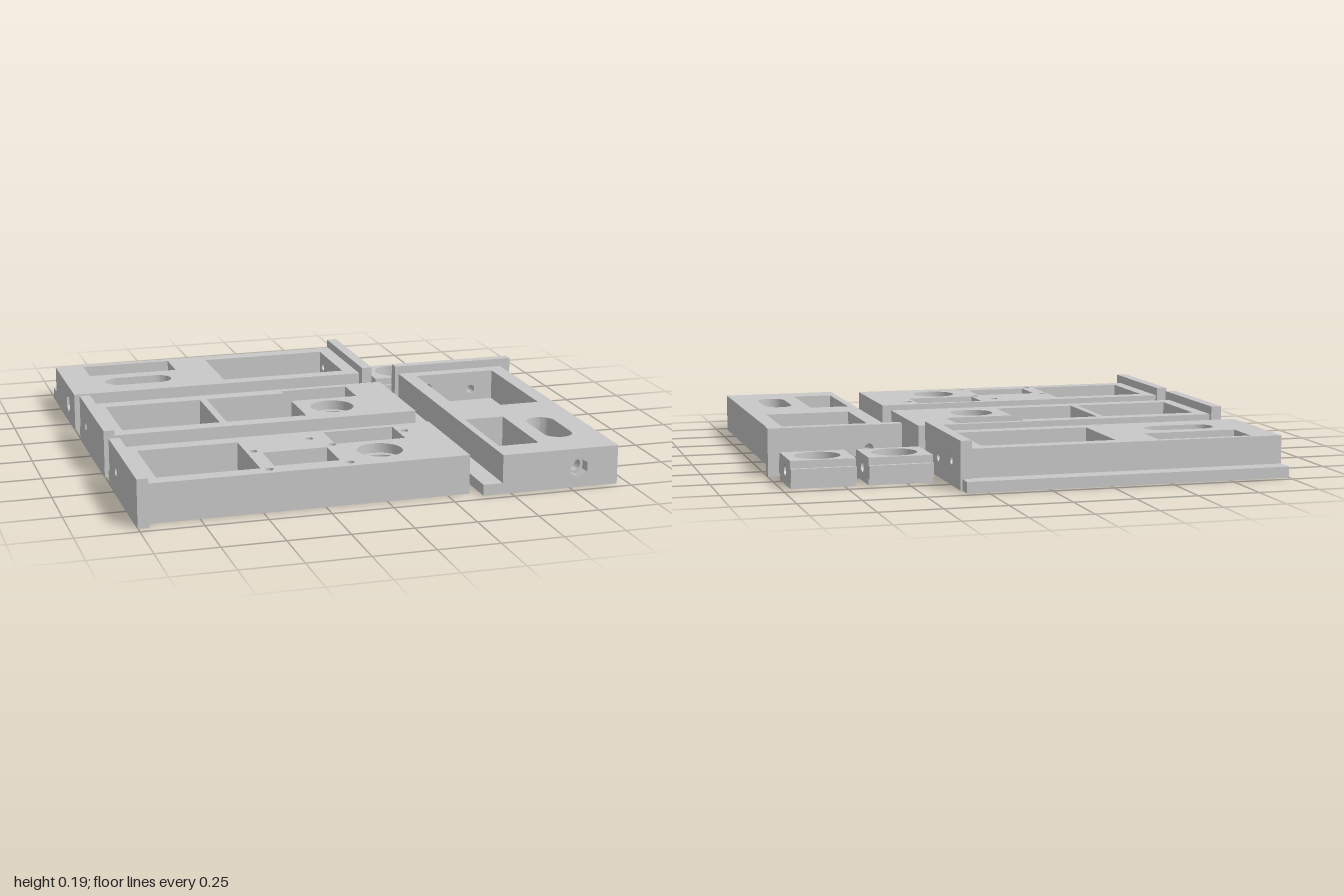
import * as THREE from 'three';
import { toCreasedNormals } from 'three/addons/utils/BufferGeometryUtils.js';

const grey = new THREE.MeshStandardMaterial({ color: 0xc8c8c8 });
grey.name = 'machined grey';

const rect = (a, b, c, d) => [[a, b], [c, b], [c, d], [a, d]];
const circle = (x, z, r, n = 40) => Array.from({ length: n }, (_, i) => {
  const t = (i / n) * Math.PI * 2;
  return [x + r * Math.cos(t), z + r * Math.sin(t)];
});
// Open arc from angle t0 to t1
const arc = (x, z, r, t0, t1, n = 20) => Array.from({ length: n + 1 }, (_, i) => {
  const t = t0 + (i / n) * (t1 - t0);
  return [x + r * Math.cos(t), z + r * Math.sin(t)];
});
// Rounded slot running along x
const slot = (x0, x1, z, r) => [
  ...arc(x1 - r, z, r, -Math.PI / 2, Math.PI / 2),
  ...arc(x0 + r, z, r, Math.PI / 2, Math.PI * 1.5),
];

// Extruded shape; the outline is kept counter-clockwise and the holes clockwise
function prism(outline, holes, depth) {
  const toVec = (pts, clockwise) => {
    const v = pts.map(([a, b]) => new THREE.Vector2(a, b));
    return THREE.ShapeUtils.isClockWise(v) === clockwise ? v : v.reverse();
  };
  const shape = new THREE.Shape(toVec(outline, false));
  holes.forEach((h) => shape.holes.push(new THREE.Path(toVec(h, true))));
  return new THREE.ExtrudeGeometry(shape, { depth, bevelEnabled: false });
}

function add(group, name, geometry) {
  const mesh = new THREE.Mesh(toCreasedNormals(geometry, 0.5), grey);
  mesh.name = name;
  group.add(mesh);
}

// Horizontal layer: outline and holes in (x, z), raised from y0 to y1
function layer(group, name, outline, holes, y0, y1, s = 1) {
  const map = (pts) => pts.map(([x, z]) => [s * x, -z]);
  const g = prism(map(outline), holes.map(map), y1 - y0);
  add(group, name, g.rotateX(-Math.PI / 2).translate(0, y0, 0));
}

// Upright plate: outline and holes in (z, y), thick from x0 to x1
function upright(group, name, outline, holes, x0, x1, s = 1) {
  const map = (pts) => pts.map(([z, y]) => [-z, y]);
  const g = prism(map(outline), holes.map(map), x1 - x0);
  add(group, name, g.rotateY(Math.PI / 2).translate(s > 0 ? x0 : -x1, 0, 0));
}

const LENGTH = 1.342, WIDTH = 0.57, HEIGHT = 0.16, FLOOR = 0.03, STEP = 0.12;

// Plate measured from its flange (x = 0) and its ledge edge (z = 0)
function plate(name, { s = 1, wall, pocketEnd, pockets, through, floorHoles = [], bore, boltHoles, hexEnd }) {
  const g = new THREE.Group();
  g.name = name;
  const end = hexEnd ? LENGTH - 0.1 : LENGTH;
  const side = rect(0.08, 0, WIDTH, HEIGHT);
  const holes = boltHoles.map(([z, y]) => circle(z, y, 0.018, 24));

  // End flange, wall behind it and side ledge
  upright(g, 'flange', rect(0.063, 0, 0.615, 0.195), holes, 0, 0.045, s);
  upright(g, 'endWall', side, holes, 0.045, wall, s);
  layer(g, 'ledge', rect(0.008, 0, LENGTH, 0.08), [], 0, 0.045, s);

  // Floor, then walls around the pockets
  const boreHole = (r) => (bore ? [circle(bore[0], bore[1], r)] : []);
  layer(g, 'floor', rect(wall, 0.08, end, WIDTH), [...through, ...floorHoles, ...boreHole(0.067)], 0, FLOOR, s);
  const outline = [[wall, 0.08], [end, 0.08], [end, WIDTH], [wall, WIDTH],
    [wall, 0.505], [pocketEnd, 0.505], [pocketEnd, 0.145], [wall, 0.145]];
  const cuts = [...pockets, ...through];
  layer(g, 'lowerWalls', outline, [...cuts, ...boreHole(0.067)], FLOOR, STEP, s);
  layer(g, 'upperWalls', outline, [...cuts, ...boreHole(0.091)], STEP, HEIGHT, s);

  // Far end with bolt hole and hexagonal nut recess
  if (hexEnd) {
    const hex = circle(0, 0, 0.04, 6).map(([a, b]) => [0.405 + b, 0.08 + a]);
    upright(g, 'boltEnd', side, [circle(0.405, 0.08, 0.025, 24)], end, LENGTH - 0.05, s);
    upright(g, 'nutRecess', side, [hex], LENGTH - 0.05, LENGTH, s);
  }
  return g;
}

// Slider block with vertical stepped bore and cross bore along x
function sliderBlock() {
  const g = new THREE.Group();
  g.name = 'sliderBlock';
  const a = 0.113, b = 0.131, x = 0.105, c = 0.02;
  const half = [[a, 0], [a, 0.025], [b, 0.025], [b, 0.08], [a, 0.08], [a, 0.11]];
  const profile = [...half, ...half.map(([z, y]) => [-z, y]).reverse()];
  const cross = [circle(0, 0.058, 0.023, 24)];
  upright(g, 'blockEnd', profile, cross, x, 0.13);
  upright(g, 'blockEnd', profile, cross, -0.13, -x);
  const solid = [[0, 0.025, a, 0.068], [0.025, 0.037, b, 0.068], [0.08, 0.11, a, 0.091]];
  solid.forEach(([y0, y1, w, r]) => layer(g, 'blockLayer', rect(-x, -w, x, w), [circle(0, 0, r)], y0, y1));
  // Layers split by the cross bore
  [[0.037, 0.06, 0.068], [0.06, 0.08, 0.091]].forEach(([y0, y1, r]) => {
    const t = Math.asin(c / r);
    const pts = [[-x, c], ...arc(0, 0, r, Math.PI - t, t), [x, c], [x, b], [-x, b]];
    [1, -1].forEach((m) => layer(g, 'splitLayer', pts.map(([px, pz]) => [px, m * pz]), [], y0, y1));
  });
  return g;
}

export function createModel() {
  const model = new THREE.Group();
  model.name = 'housingParts';
  const place = (part, x, z, turn = 0) => {
    part.position.set(x, 0, z);
    part.rotation.y = turn;
    model.add(part);
  };

  // Two slotted plates, the second turned a quarter
  const slotted = {
    s: -1, wall: 0.105, pocketEnd: 0.657, hexEnd: true,
    pockets: [rect(0.827, 0.11, 1.22, 0.278)],
    through: [slot(0.877, 1.172, 0.404, 0.06)],
    boltHoles: [[0.2, 0.1], [0.405, 0.08]],
  };
  place(plate('backPlate', slotted), 0.342, -0.967);
  place(plate('sidePlate', slotted), 0.384, -0.381, Math.PI / 2);

  // Middle plate with an L-shaped pocket
  place(plate('middlePlate', {
    wall: 0.097, pocketEnd: 0.507, bore: [1.024, 0.403], through: [], boltHoles: [[0.2, 0.1]],
    pockets: [[[0.537, 0.145], [0.88, 0.145], [0.88, 0.11], [1.172, 0.11],
      [1.172, 0.275], [0.88, 0.275], [0.88, 0.505], [0.537, 0.505]]],
  }), -1.002, -0.31);

  // Front plate with small screw holes; one of them cuts into a pocket corner
  const screws = [[0.537, 0.28], [0.537, 0.525], [0.862, 0.525], [0.797, 0.175], [1.202, 0.175]];
  const cornerPocket = [[0.877, 0.107], [1.172, 0.107], [1.172, 0.275],
    ...arc(0.862, 0.28, 0.017, -0.299, Math.PI * 2 - 0.49)];
  place(plate('frontPlate', {
    wall: 0.097, pocketEnd: 0.507, bore: [1.024, 0.403], boltHoles: [[0.2, 0.1]],
    pockets: [rect(0.567, 0.31, 0.832, 0.49), cornerPocket],
    through: screws.map(([x, z]) => circle(x, z, 0.017, 20)),
    floorHoles: [circle(0.862, 0.28, 0.017, 20)],
  }), -1.002, 0.35);

  [0.525, 0.835].forEach((x) => place(sliderBlock(), x, -0.572));
  return model;
}
